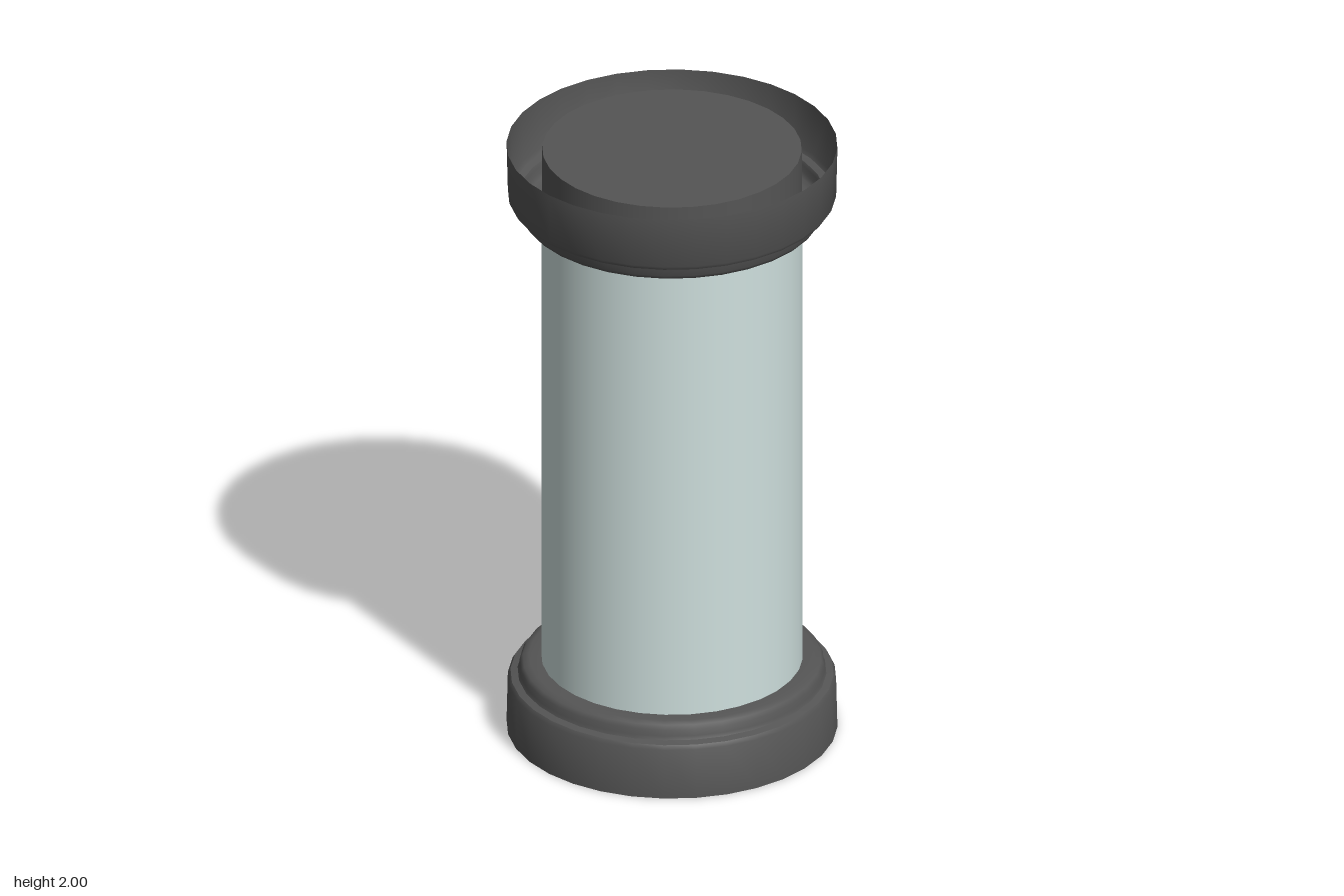
import * as THREE from 'three';
import { toCreasedNormals } from 'three/addons/utils/BufferGeometryUtils.js';

const SIDES = 32;

export function createModel() {
  const model = new THREE.Group();
  model.name = 'capsule';
  const dark = new THREE.MeshStandardMaterial({ color: 0x555555, side: THREE.DoubleSide });
  const glass = new THREE.MeshStandardMaterial({ color: 0xcfe0de, side: THREE.DoubleSide });

  // Glass tube between the two end fittings
  const tube = new THREE.Mesh(new THREE.CylinderGeometry(0.403, 0.403, 1.56, SIDES, 1, true), glass);
  tube.name = 'glassTube';
  tube.position.y = 1;
  model.add(tube);

  // Thin stepped collar: outer skirt, shoulder, rounded step and inner flange
  const collarProfile = [
    [0.51, 0], [0.506, 0.165], [0.498, 0.178], [0.476, 0.184],
    [0.471, 0.195], [0.469, 0.215], [0.46, 0.228], [0.44, 0.234], [0.4, 0.235],
  ].map(([r, y]) => new THREE.Vector2(r, y));
  const collarGeometry = toCreasedNormals(new THREE.LatheGeometry(collarProfile, SIDES), 0.7);

  // Solid plug set inside each collar, just short of its rim
  const plugGeometry = new THREE.CylinderGeometry(0.4, 0.4, 0.222, SIDES);

  function endFitting(name) {
    const fitting = new THREE.Group();
    fitting.name = name;
    const collar = new THREE.Mesh(collarGeometry, dark);
    collar.name = 'collar';
    const plug = new THREE.Mesh(plugGeometry, dark);
    plug.name = 'plug';
    plug.position.y = 0.013 + 0.111;
    fitting.add(collar, plug);
    return fitting;
  }

  const base = endFitting('bottomFitting');
  const top = endFitting('topFitting');
  top.rotation.x = Math.PI;
  top.position.y = 2;
  model.add(base, top);

  return model;
}
